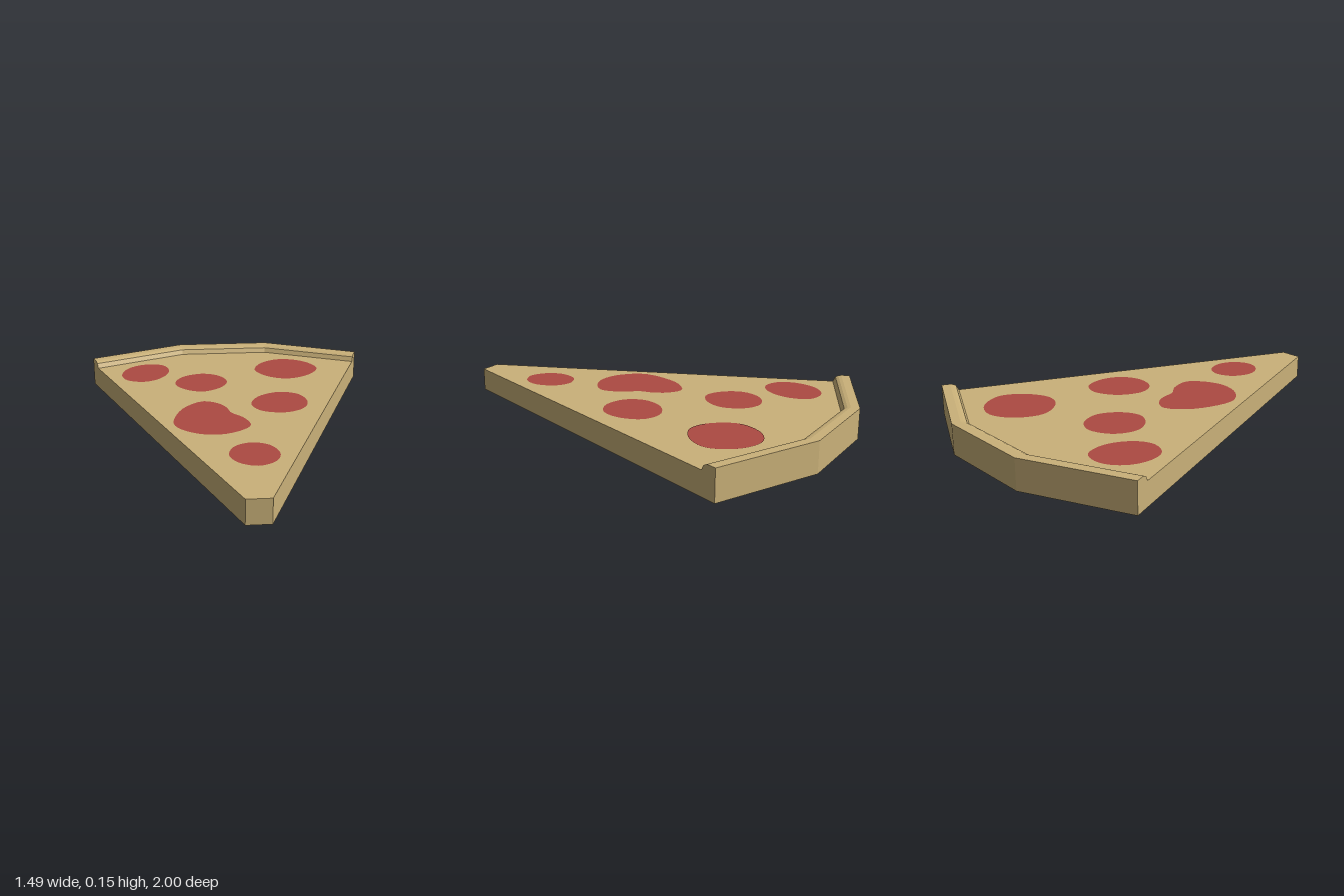
import * as THREE from 'three';

const BASE_TOP = 0.115;

// Flat outline given as [x, z] pairs, laid on the ground plane
const toShape = (pts) => new THREE.Shape(pts.map(([x, z]) => new THREE.Vector2(x, -z)));

// Crust: one profile swept through radial stations [inner x, z, outer x, z]
function crustGeometry(stations, profile) {
  const corner = (s, [t, y]) => [
    THREE.MathUtils.lerp(s[0], s[2], t), y, THREE.MathUtils.lerp(s[1], s[3], t),
  ];
  const pos = [];
  for (let i = 0; i < stations.length - 1; i++) {
    for (let j = 0; j < profile.length - 1; j++) {
      const a = corner(stations[i], profile[j]);
      const b = corner(stations[i + 1], profile[j]);
      const c = corner(stations[i + 1], profile[j + 1]);
      const d = corner(stations[i], profile[j + 1]);
      pos.push(...a, ...b, ...c, ...a, ...c, ...d);
    }
  }
  // End caps on the two cut sides
  const first = stations[0], last = stations[stations.length - 1];
  for (let j = 1; j < profile.length - 1; j++) {
    pos.push(...corner(first, profile[0]), ...corner(first, profile[j]), ...corner(first, profile[j + 1]));
    pos.push(...corner(last, profile[0]), ...corner(last, profile[j + 1]), ...corner(last, profile[j]));
  }
  const geo = new THREE.BufferGeometry();
  geo.setAttribute('position', new THREE.Float32BufferAttribute(pos, 3));
  geo.computeVertexNormals();
  return geo;
}

// Irregular round slice through a closed smooth curve
function blobGeometry(pts) {
  const curve = new THREE.CatmullRomCurve3(pts.map(([x, z]) => new THREE.Vector3(x, -z, 0)), true);
  const outline = curve.getPoints(40).slice(0, -1).map((p) => new THREE.Vector2(p.x, p.y));
  return new THREE.ShapeGeometry(new THREE.Shape(outline)).rotateX(-Math.PI / 2);
}

export function createModel() {
  const model = new THREE.Group();
  model.name = 'pizzaSlice';
  const dough = new THREE.MeshStandardMaterial({ color: 0xcab179 });
  dough.name = 'dough';
  const red = new THREE.MeshStandardMaterial({ color: 0xad4a42 });
  red.name = 'pepperoniRed';

  const add = (name, geo, mat, y = 0) => {
    const mesh = new THREE.Mesh(geo, mat);
    mesh.name = name;
    mesh.position.y = y;
    model.add(mesh);
  };

  // Wedge with a blunt tip, ending at the crust
  const wedge = toShape([
    [-0.055, 1], [0.055, 1], [0.716, -0.695], [0.24, -0.915], [-0.24, -0.915], [-0.716, -0.695],
  ]);
  const base = new THREE.ExtrudeGeometry(wedge, { depth: BASE_TOP, bevelEnabled: false });
  add('base', base.rotateX(-Math.PI / 2), dough);

  // Raised crust in three straight segments
  const stations = [
    [-0.716, -0.695, -0.746, -0.772], [-0.24, -0.915, -0.25, -1],
    [0.24, -0.915, 0.25, -1], [0.716, -0.695, 0.746, -0.772],
  ];
  const profile = [
    [0, BASE_TOP], [0.15, 0.139], [0.32, 0.146], [0.5, 0.149], [1, 0.149], [1, 0], [0, 0],
  ];
  add('crust', crustGeometry(stations, profile), dough);

  // Pepperoni, flat on the top
  const pepperoni = [
    [[-0.43, -0.735], [-0.355, -0.71], [-0.325, -0.62], [-0.345, -0.53], [-0.40, -0.46],
      [-0.47, -0.435], [-0.55, -0.47], [-0.58, -0.55], [-0.56, -0.65], [-0.50, -0.715]],
    [[-0.15, -0.545], [-0.06, -0.505], [-0.02, -0.40], [-0.07, -0.30], [-0.16, -0.255],
      [-0.25, -0.30], [-0.295, -0.39], [-0.255, -0.495]],
    [[0.31, -0.77], [0.43, -0.725], [0.495, -0.60], [0.44, -0.49], [0.32, -0.425],
      [0.22, -0.46], [0.148, -0.58], [0.20, -0.71]],
    [[0.23, -0.215], [0.325, -0.18], [0.36, -0.07], [0.325, 0.03], [0.23, 0.08],
      [0.12, 0.05], [0.075, -0.04], [0.12, -0.155]],
    [[-0.16, -0.11], [-0.09, -0.075], [-0.05, -0.01], [-0.035, 0.06], [0.02, 0.13],
      [0.045, 0.23], [0, 0.29], [-0.10, 0.335], [-0.20, 0.32], [-0.28, 0.26],
      [-0.315, 0.19], [-0.30, 0.07], [-0.25, -0.04]],
    [[0.03, 0.44], [0.105, 0.475], [0.14, 0.57], [0.11, 0.655], [0.03, 0.695],
      [-0.05, 0.655], [-0.085, 0.57], [-0.05, 0.475]],
  ];
  pepperoni.forEach((pts, i) => add(`pepperoni${i + 1}`, blobGeometry(pts), red, BASE_TOP + 0.002));

  return model;
}
